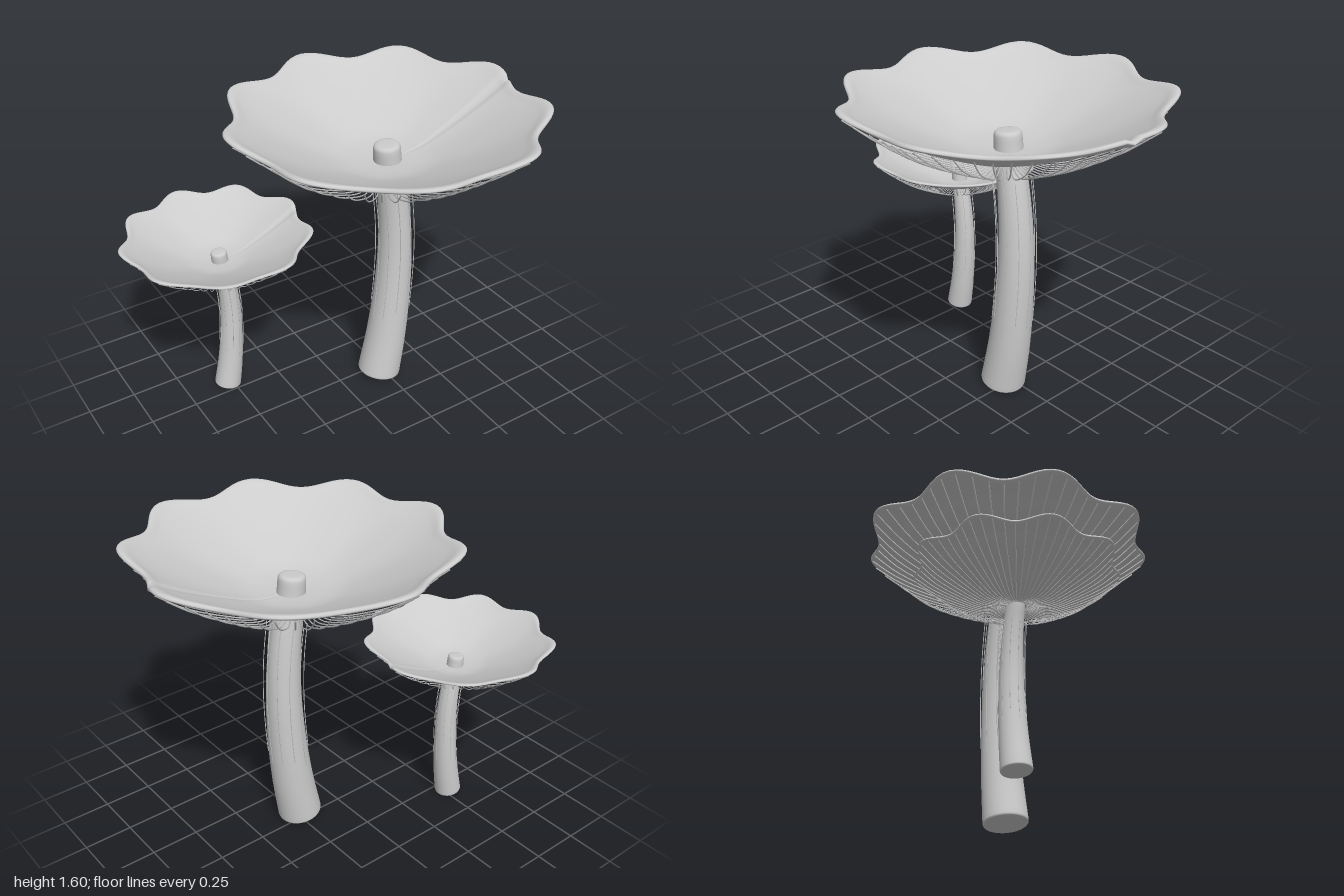
import * as THREE from 'three';

const grey = new THREE.MeshStandardMaterial({ color: 0xcccccc });
grey.name = 'plain grey';
const V = (x, y, z = 0) => new THREE.Vector3(x, y, z);

// Smooth skin over rows of closed rings; at(i, j) gives each point
function skin(rows, cols, at) {
  const pos = [], index = [];
  for (let i = 0; i < rows; i++) {
    for (let j = 0; j < cols; j++) {
      pos.push(...at(i, j).toArray());
      if (i === rows - 1) continue;
      const k = (j + 1) % cols;
      const a = i * cols + j, b = i * cols + k, c = a + cols, d = b + cols;
      index.push(a, c, b, b, c, d);
    }
  }
  const g = new THREE.BufferGeometry();
  g.setAttribute('position', new THREE.Float32BufferAttribute(pos, 3));
  g.setIndex(index);
  g.computeVertexNormals();
  return g;
}

function addMesh(parent, name, geometry) {
  const m = new THREE.Mesh(geometry, grey);
  m.name = name;
  parent.add(m);
}

// Nine lobes that swell and lift towards the rim
function ruffle(angle, r, y) {
  const k = Math.pow(r / 0.75, 3), w = -Math.sin(9 * angle) * k;
  const R = r * (1 + 0.05 * w);
  return V(R * Math.cos(angle), y + 0.017 * w, R * Math.sin(angle));
}

// Bent stem centre line
const stemLine = new THREE.CatmullRomCurve3([
  V(0, 0.02), V(0.04, 0.25), V(0.068, 0.5), V(0.08, 0.75),
  V(0.072, 0.97), V(0.045, 1.18), V(0.02, 1.3), V(0.01, 1.41),
]);
function aroundStem(u, angle, r) {
  const p = stemLine.getPointAt(u), t = stemLine.getTangentAt(u);
  const c = r * Math.cos(angle);
  return V(p.x + c * t.y, p.y - c * t.x, r * Math.sin(angle));
}

// Cap section: underside outwards, round the rim, then back to the middle
const capSection = new THREE.CatmullRomCurve3([
  V(0.01, 1.3), V(0.2, 1.315), V(0.325, 1.36), V(0.525, 1.45), V(0.675, 1.53),
  V(0.738, 1.56), V(0.75, 1.571), V(0.744, 1.581), V(0.725, 1.58), V(0.675, 1.55),
  V(0.525, 1.472), V(0.325, 1.382), V(0.2, 1.338), V(0.01, 1.318),
], false, 'centripetal');

const gillSection = new THREE.CatmullRomCurve3([
  V(0.07, 1.285), V(0.15, 1.272), V(0.25, 1.272), V(0.425, 1.345), V(0.62, 1.455), V(0.74, 1.555),
]);

function mushroom(name) {
  const g = new THREE.Group();
  g.name = name;

  // Cap with a narrow radial crease on the +x side
  const capRows = 72, capCols = 144;
  const section = Array.from({ length: capRows }, (_, i) => capSection.getPoint(i / (capRows - 1)));
  addMesh(g, 'cap', skin(capRows, capCols, (i, j) => {
    const { x: r, y } = section[i];
    return ruffle((j / capCols) * Math.PI * 2, r, y - (j === 0 ? 0.022 * r : 0));
  }));

  // Stem, tapering upwards, with softened and closed ends
  const ends = [[0, 0.001], [0, 0.95], [0.003, 0.985], [0.008, 1]];
  const rings = [...ends];
  for (let i = 1; i < 32; i++) rings.push([i / 32, 1]);
  rings.push([0.985, 1], [0.993, 0.95], [0.998, 0.85], [1, 0.65], [1, 0.001]);
  addMesh(g, 'stem', skin(rings.length, 32, (i, j) => {
    const [u, s] = rings[i];
    return aroundStem(u, (j / 32) * Math.PI * 2, s * (0.115 - 0.049 * u));
  }));

  // Thin gills hanging under the cap
  const gills = new THREE.Group();
  gills.name = 'gills';
  g.add(gills);
  for (let n = 0; n < 60; n++) {
    const a = (n / 60) * Math.PI * 2;
    const pts = gillSection.getPoints(12).map((p) => ruffle(a, p.x, p.y));
    addMesh(gills, 'gill', new THREE.TubeGeometry(new THREE.CatmullRomCurve3(pts), 16, 0.0035, 4));
  }

  // Fine fibres standing just off the upper stem
  const fibres = new THREE.Group();
  fibres.name = 'stemFibres';
  g.add(fibres);
  for (let n = 0; n < 10; n++) {
    const a = (n / 10) * Math.PI * 2;
    const low = 0.28 + 0.035 * Math.sin(n * 2.4), pts = [];
    for (let i = 0; i <= 8; i++) {
      const u = low + (0.83 - low) * (i / 8);
      pts.push(aroundStem(u, a, 0.096 + 0.006 * (1 - i / 8)));
    }
    addMesh(fibres, 'fibre', new THREE.TubeGeometry(new THREE.CatmullRomCurve3(pts), 16, 0.0025, 4));
  }
  return g;
}

export function createModel() {
  const model = new THREE.Group();
  model.name = 'mushrooms';
  const large = mushroom('largeMushroom');
  large.position.set(0.225, 0, 0.045);
  const small = mushroom('smallMushroom');
  small.position.set(-0.528, 0, -0.313);
  small.scale.setScalar(0.612);
  model.add(large, small);
  return model;
}
